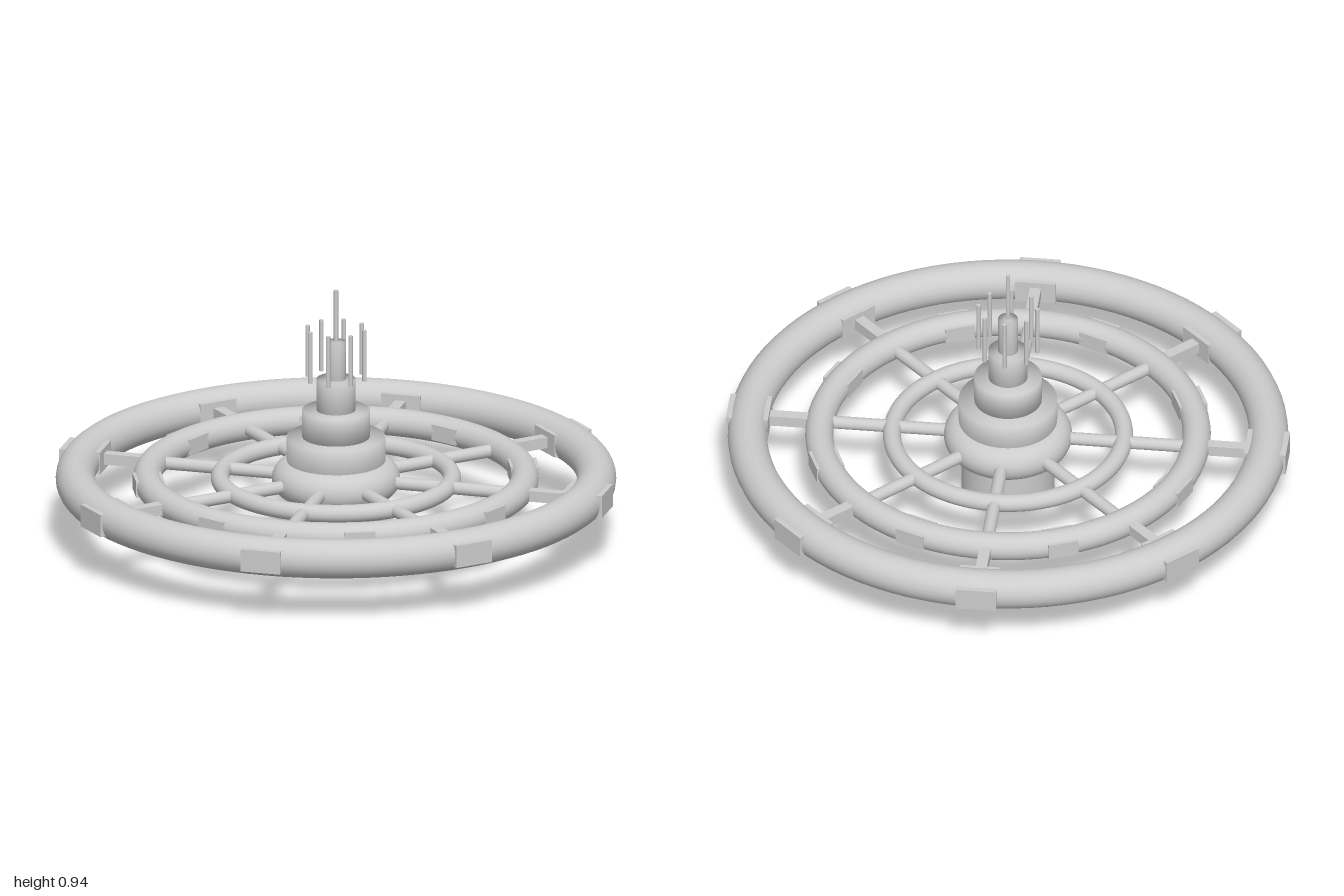
import * as THREE from 'three';
import { mergeVertices } from 'three/addons/utils/BufferGeometryUtils.js';

const RING_Y = 0.235;

export function createModel() {
  const model = new THREE.Group();
  model.name = 'ringStation';
  const hull = new THREE.MeshStandardMaterial({ color: 0xcccccc });
  hull.name = 'hullGrey';

  const add = (name, geometry, x = 0, y = 0, z = 0) => {
    const mesh = new THREE.Mesh(geometry, hull);
    mesh.name = name;
    mesh.position.set(x, y, z);
    model.add(mesh);
    return mesh;
  };

  // Drum whose shading flows softly over its rims
  const softDrum = (radius, height) => {
    const g = new THREE.CylinderGeometry(radius, radius, height, 48);
    g.deleteAttribute('normal');
    g.deleteAttribute('uv');
    const merged = mergeVertices(g, 1e-4);
    merged.computeVertexNormals();
    return merged;
  };

  const torus = (name, radius, tube) => {
    const g = new THREE.TorusGeometry(radius, tube, 24, 96);
    g.rotateX(Math.PI / 2);
    add(name, g, 0, RING_Y, 0);
  };

  // Habitat rings and hub collar
  torus('outerRing', 0.925, 0.07);
  torus('middleRing', 0.67, 0.05);
  torus('innerRing', 0.412, 0.032);
  torus('hubCollar', 0.16, 0.068);

  // Base drum
  add('baseDrum', new THREE.CylinderGeometry(0.165, 0.165, 0.24, 48), 0, 0.12, 0);

  // Stepped tower: radius, bottom, top
  [
    [0.175, 0.22, 0.39],
    [0.12, 0.38, 0.49],
    [0.07, 0.48, 0.605],
    [0.035, 0.6, 0.745],
  ].forEach(([r, bottom, top], i) => {
    add('towerTier' + (i + 1), softDrum(r, top - bottom), 0, (top + bottom) / 2, 0);
  });

  // Central mast and the circle of antenna rods
  add('mast', new THREE.CylinderGeometry(0.008, 0.008, 0.2, 12), 0, 0.835, 0);
  const rod = new THREE.CylinderGeometry(0.008, 0.008, 0.19, 12);
  for (let i = 0; i < 8; i++) {
    const a = (i * Math.PI) / 4;
    add('antennaRod', rod, 0.105 * Math.cos(a), 0.7, 0.105 * Math.sin(a));
  }

  // Spokes: round inside the middle ring, square beyond it
  const innerSpoke = new THREE.CylinderGeometry(0.023, 0.023, 0.5, 16);
  innerSpoke.rotateZ(Math.PI / 2);
  const outerSpoke = new THREE.BoxGeometry(0.22, 0.04, 0.04);
  // Ring modules: boxes whose flat faces show through the ring sides
  const outerModule = new THREE.BoxGeometry(0.15, 0.082, 0.145);
  const middleModule = new THREE.BoxGeometry(0.102, 0.058, 0.11);

  const radial = (name, geometry, radius, angle) => {
    const m = add(name, geometry, radius * Math.cos(angle), RING_Y, -radius * Math.sin(angle));
    m.rotation.y = angle;
  };
  for (let i = 0; i < 8; i++) {
    const a = (i * Math.PI) / 4;
    radial('innerSpoke', innerSpoke, 0.4, a);
    radial('outerSpoke', outerSpoke, 0.78, a);
    radial('outerRingModule', outerModule, 0.925, a);
    radial('middleRingModule', middleModule, 0.67, a + Math.PI / 8);
  }
  return model;
}
